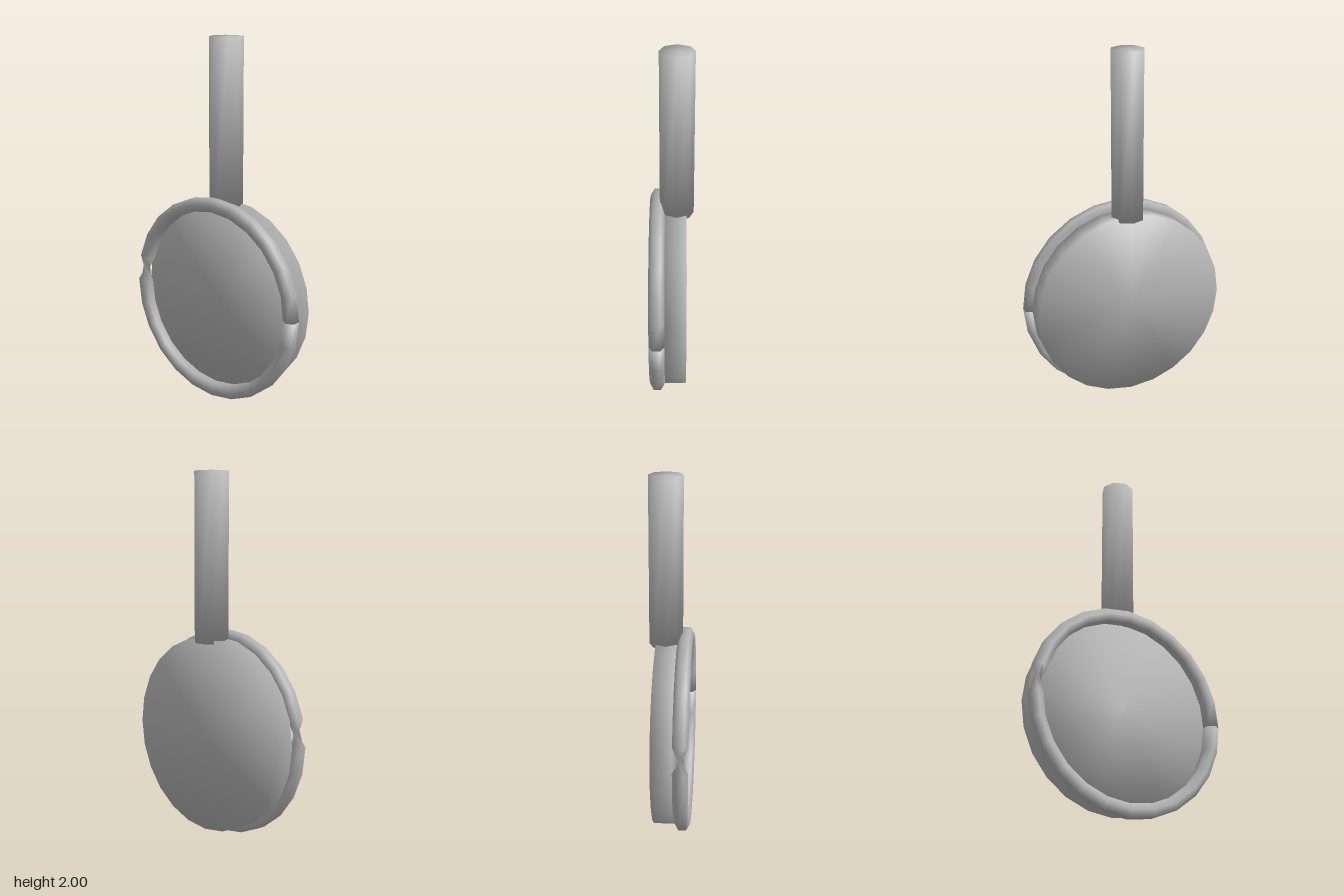
import * as THREE from 'three';
import { mergeVertices } from 'three/addons/utils/BufferGeometryUtils.js';

const CENTER_Y = 0.573;

// Closed cylinder whose shading flows softly over the cap edges
function softCylinder(radius, height, sides) {
  let g = new THREE.CylinderGeometry(radius, radius, height, sides);
  g.deleteAttribute('uv');
  g.deleteAttribute('normal');
  g = mergeVertices(g);
  g.computeVertexNormals();
  const p = g.attributes.position, nrm = g.attributes.normal;
  const v = new THREE.Vector3();
  for (let i = 0; i < p.count; i++) {
    v.set(p.getX(i) / radius, Math.sign(p.getY(i)), p.getZ(i) / radius).normalize();
    nrm.setXYZ(i, v.x, v.y, v.z);
  }
  return g;
}

// Six-sided ring tube, split at its +x end, with a half twist before its -x point
function twistedRing(radius, tube, steps, sides) {
  const pos = [], nor = [], idx = [];
  const n = new THREE.Vector3();
  for (let i = 0; i <= steps; i++) {
    const t = (i / steps) * Math.PI * 2;
    const twist = i >= steps / 2 ? Math.PI : 0;
    const end = i === 0 ? -1 : i === steps ? 1 : 0;
    for (let k = 0; k < sides; k++) {
      const a = ((k + 0.5) / sides) * Math.PI * 2 + twist;
      const r = radius + tube * Math.cos(a);
      pos.push(r * Math.cos(t), r * Math.sin(t), tube * Math.sin(a));
      n.set(
        Math.cos(a) * Math.cos(t) - end * Math.sin(t),
        Math.cos(a) * Math.sin(t) + end * Math.cos(t),
        Math.sin(a)
      ).normalize();
      nor.push(n.x, n.y, n.z);
      if (i < steps) {
        const k2 = (k + 1) % sides;
        const A = i * sides + k, B = A + sides, C = i * sides + k2, D = C + sides;
        idx.push(A, B, C, B, D, C);
      }
    }
  }
  // End caps
  const last = steps * sides;
  for (let k = 1; k < sides - 1; k++) {
    idx.push(0, k, k + 1, last, last + k + 1, last + k);
  }
  const g = new THREE.BufferGeometry();
  g.setAttribute('position', new THREE.Float32BufferAttribute(pos, 3));
  g.setAttribute('normal', new THREE.Float32BufferAttribute(nor, 3));
  g.setIndex(idx);
  return g;
}

export function createModel() {
  const group = new THREE.Group();
  const gray = new THREE.MeshStandardMaterial({ color: 0xb4b4b4, side: THREE.DoubleSide });
  gray.name = 'plain gray';

  const add = (name, geometry, y, z) => {
    const mesh = new THREE.Mesh(geometry, gray);
    mesh.name = name;
    mesh.position.set(0, y, z);
    group.add(mesh);
  };

  // Round body, facing front
  add('disc', softCylinder(0.535, 0.115, 24).rotateX(Math.PI / 2), CENTER_Y, -0.0225);
  // Raised rim in front of the body
  add('rim', twistedRing(0.535, 0.042, 24, 6), CENTER_Y, 0.077);
  // Upright octagonal handle
  add('handle', softCylinder(0.092, 0.92, 8), 1.54, -0.028);

  return group;
}
